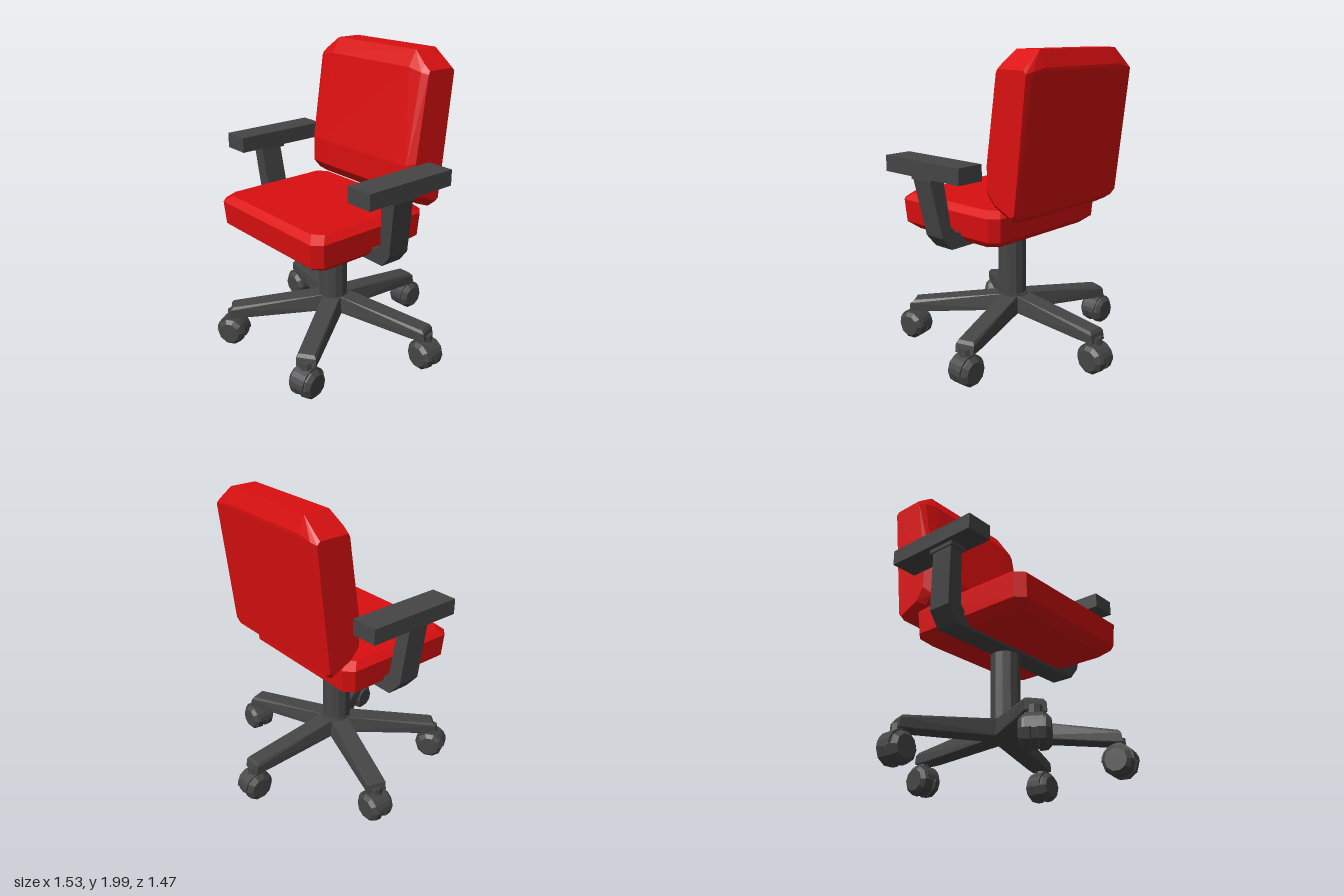
import * as THREE from 'three';
import { ConvexGeometry } from 'three/addons/geometries/ConvexGeometry.js';

const red = new THREE.MeshStandardMaterial({ name: 'red upholstery', color: 0xdb0f10, flatShading: true });
const grey = new THREE.MeshStandardMaterial({ name: 'dark grey plastic', color: 0x454545, flatShading: true });

function part(name, geometry, material, x = 0, y = 0, z = 0) {
  const mesh = new THREE.Mesh(geometry, material);
  mesh.name = name;
  mesh.position.set(x, y, z);
  return mesh;
}

const hull = (points) => new ConvexGeometry(points.map((p) => new THREE.Vector3(...p)));

// Cushion made of stacked rectangles with cut corners
function makeSeat() {
  const points = [];
  const layers = [[0.82, 0.07], [0.87, 0.01], [1.02, 0], [1.06, 0.045]]; // height, inset
  for (const [y, inset] of layers) {
    const w = 0.51 - inset, d = 0.44 - inset, cut = 0.055;
    for (const sx of [-1, 1]) for (const sz of [-1, 1]) {
      points.push([sx * w, y, 0.19 + sz * (d - cut)], [sx * (w - cut), y, 0.19 + sz * d]);
    }
  }
  return part('seat', hull(points), red);
}

// Leaning backrest from side profiles (z, y) placed across its width
function makeBackrest() {
  const profiles = [
    [0.355, [[-0.28, 2], [-0.45, 2], [-0.485, 1.9], [-0.385, 1.04], [-0.335, 1],
      [-0.18, 1.08], [-0.125, 1.15], [-0.125, 1.32], [-0.225, 1.9]]],
    [0.45, [[-0.26, 1.925], [-0.455, 1.925], [-0.485, 1.88], [-0.385, 1.04], [-0.34, 1.01],
      [-0.185, 1.085], [-0.13, 1.15], [-0.13, 1.32], [-0.23, 1.88]]],
    [0.495, [[-0.26, 1.89], [-0.455, 1.89], [-0.475, 1.87], [-0.385, 1.07], [-0.36, 1.05],
      [-0.23, 1.11], [-0.17, 1.19], [-0.17, 1.34], [-0.25, 1.87]]],
  ];
  const points = [];
  for (const [x, profile] of profiles) {
    for (const [z, y] of profile) points.push([x, y, z], [-x, y, z]);
  }
  return part('backrest', hull(points), red, -0.01);
}

// U-shaped bracket under the seat, leaning forward as it rises
function makeArmFrame() {
  const outline = [
    [-0.665, 1.27], [-0.64, 0.9], [-0.56, 0.805], [0.58, 0.8], [0.645, 0.88], [0.71, 1.25],
    [0.605, 1.25], [0.575, 0.94], [0.53, 0.895], [-0.5, 0.895], [-0.54, 0.935], [-0.575, 1.27],
  ];
  const shape = new THREE.Shape(outline.map(([x, y]) => new THREE.Vector2(x, y)));
  const geometry = new THREE.ExtrudeGeometry(shape, { depth: 0.15, bevelEnabled: false });
  const pos = geometry.attributes.position;
  for (let i = 0; i < pos.count; i++) {
    pos.setZ(i, pos.getZ(i) + 0.04 + 0.09 * (pos.getY(i) - 0.8));
  }
  geometry.computeVertexNormals();
  return part('armFrame', geometry, grey);
}

// Twin-wheel caster with a hood and a swivel stem; axle runs along local x
function makeCaster() {
  const caster = new THREE.Group();
  caster.name = 'caster';
  const profile = [[0, -0.085], [0.07, -0.085], [0.094, -0.062], [0.098, -0.022], [0.088, -0.015],
    [0.088, 0.015], [0.098, 0.022], [0.094, 0.062], [0.07, 0.085], [0, 0.085]];
  const wheel = new THREE.LatheGeometry(profile.map(([r, y]) => new THREE.Vector2(r, y)), 10);
  wheel.rotateZ(Math.PI / 2);
  caster.add(part('wheels', wheel, grey, 0, 0.1, 0));
  const hood = new THREE.CylinderGeometry(0.103, 0.103, 0.1, 10, 1, false, 0, Math.PI);
  hood.rotateZ(Math.PI / 2);
  caster.add(part('hood', hood, grey, 0, 0.1, 0));
  caster.add(part('stem', new THREE.CylinderGeometry(0.04, 0.045, 0.08, 8), grey, 0, 0.2, 0));
  return caster;
}

// Tapered leg pointing along local +z
function makeLeg() {
  const points = [];
  for (const s of [-1, 1]) {
    points.push([s * 0.06, 0.37, 0], [s * 0.075, 0.255, 0],
      [s * 0.05, 0.285, 0.69], [s * 0.062, 0.265, 0.705], [s * 0.062, 0.21, 0.715], [s * 0.062, 0.21, 0.6]);
  }
  return part('leg', hull(points), grey);
}

function makeBase() {
  const base = new THREE.Group();
  base.name = 'base';
  base.position.set(-0.005, 0, 0.07);
  const axleTurns = [0.2, 1.57, 0, 1.57, -1.0];
  axleTurns.forEach((turn, i) => {
    const angle = Math.PI * (0.2 + 0.4 * i);
    const leg = makeLeg();
    leg.rotation.y = angle;
    const caster = makeCaster();
    caster.position.set(0.695 * Math.sin(angle), 0, 0.695 * Math.cos(angle));
    caster.rotation.y = turn;
    base.add(leg, caster);
  });
  base.add(part('hub', new THREE.CylinderGeometry(0.1, 0.1, 0.11, 10), grey, 0, 0.312, 0));
  return base;
}

export function createModel() {
  const chair = new THREE.Group();
  chair.name = 'officeChair';
  chair.add(makeSeat(), makeBackrest(), makeArmFrame(), makeBase());
  chair.add(part('column', new THREE.CylinderGeometry(0.096, 0.096, 0.5, 12), grey, 0, 0.59, 0.085));

  // Arm pads with a collar where each post meets them
  for (const [side, x, y, z] of [['left', 0.65, 1.31, 0.12], ['right', -0.615, 1.34, 0.09]]) {
    chair.add(part(side + 'ArmPad', new THREE.BoxGeometry(0.18, 0.1, 0.65), grey, x, y, z));
    chair.add(part(side + 'ArmCollar', new THREE.BoxGeometry(0.12, 0.03, 0.18), grey,
      x, y - 0.06, 0.155));
  }
  return chair;
}
